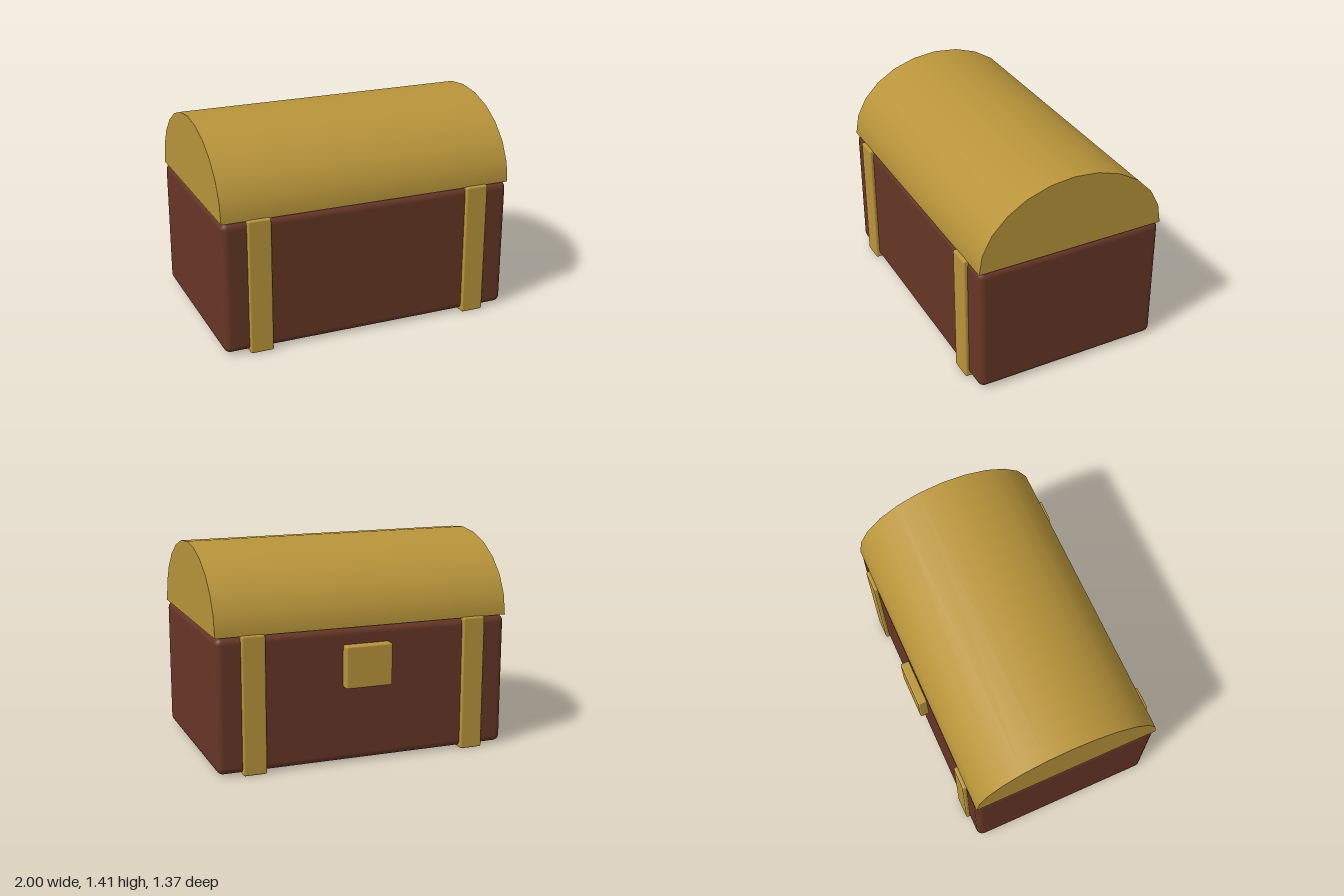
import * as THREE from 'three';
import { RoundedBoxGeometry } from 'three/addons/geometries/RoundedBoxGeometry.js';

const CENTER_Z = 0.0175;

export function createModel() {
  const chest = new THREE.Group();
  chest.name = 'chest';

  const gold = new THREE.MeshStandardMaterial({ color: 0xb8943a });
  gold.name = 'gold';
  const wood = new THREE.MeshStandardMaterial({ color: 0x663626 });
  wood.name = 'brown wood';

  const add = (name, geometry, material, x, y, z, parent = chest) => {
    const mesh = new THREE.Mesh(geometry, material);
    mesh.name = name;
    mesh.position.set(x, y, z);
    parent.add(mesh);
    return mesh;
  };

  // Wooden body with softened edges
  add('body', new RoundedBoxGeometry(2, 0.885, 1.285, 4, 0.045), wood, 0, 0.4545, CENTER_Z);

  // Straps wrapping the front, back and underside
  for (const side of [-1, 1]) {
    add(side > 0 ? 'leftStrap' : 'rightStrap',
      new RoundedBoxGeometry(0.155, 0.905, 1.335, 3, 0.012), gold,
      side * 0.76, 0.4525, CENTER_Z);
  }

  // Plate on the back
  add('latchPlate', new RoundedBoxGeometry(0.32, 0.28, 0.1, 3, 0.012), gold, 0, 0.65, -0.635);

  // Domed lid: a half cylinder lying along x, squashed to an ellipse
  const lid = new THREE.Group();
  lid.name = 'lid';
  lid.position.set(0, 0.9, CENTER_Z);
  chest.add(lid);
  const dome = new THREE.CylinderGeometry(1, 1, 2, 12, 1, false, 0, Math.PI);
  dome.rotateZ(Math.PI / 2).scale(1, 0.51, 0.643);
  add('lidDome', dome, gold, 0, 0, 0, lid);

  // Flat underside closing the lid
  const underside = new THREE.PlaneGeometry(2, 1.286).rotateX(Math.PI / 2);
  add('lidUnderside', underside, gold, 0, 0, 0, lid);

  return chest;
}
